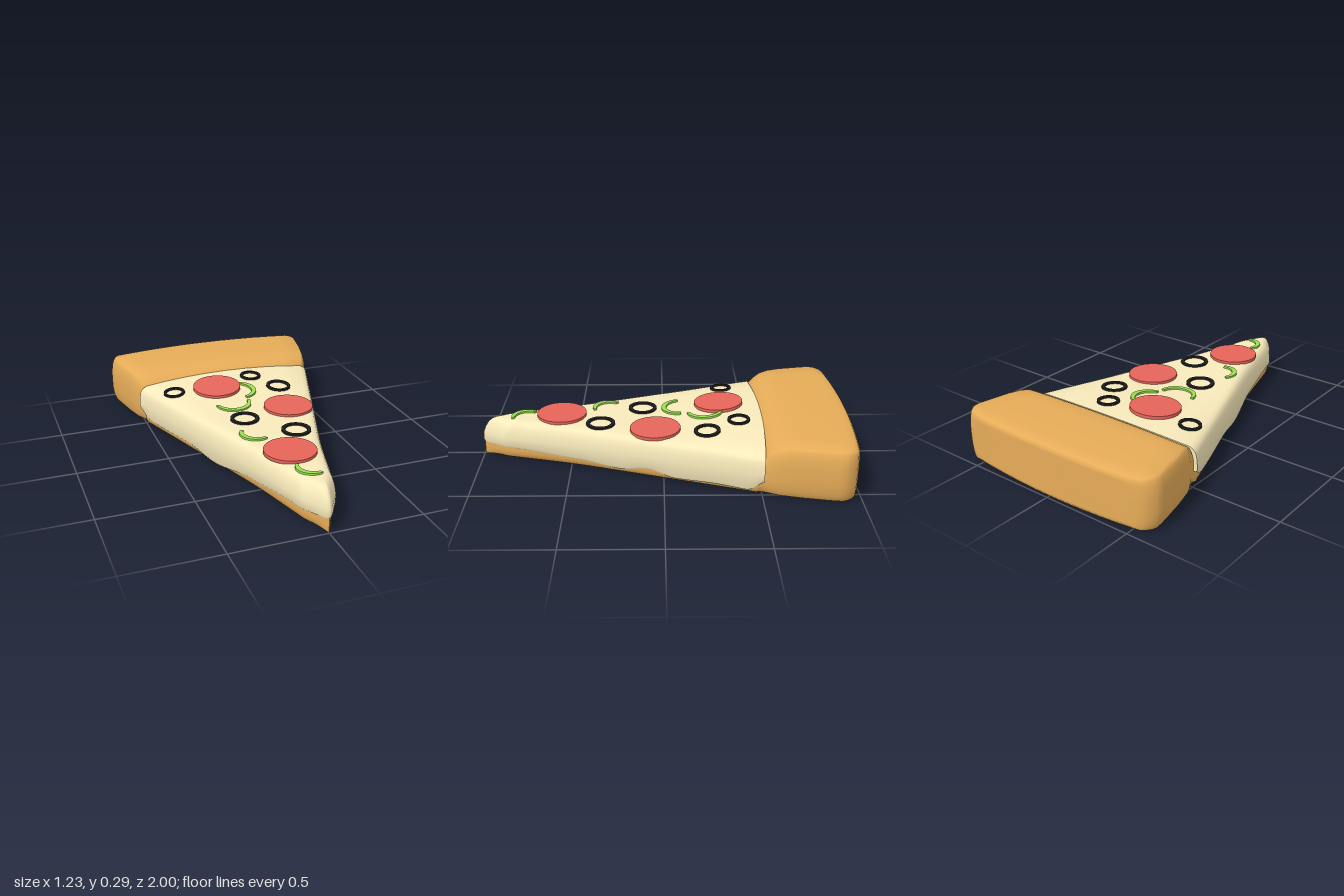
import * as THREE from 'three';
import { toCreasedNormals } from 'three/addons/utils/BufferGeometryUtils.js';

const mat = (color) => new THREE.MeshStandardMaterial({ color, side: THREE.DoubleSide });
const smooth = THREE.MathUtils.smoothstep;
const BACK = -0.505;

// Half width of the slice at depth z, with a full, rounded tip
const halfWidth = (z) => (0.36 - 0.341 * z + 0.03 * smooth(z, 0.4, 1))
  * Math.sqrt(Math.min(1, Math.max(0, 1 - z) / 0.13));

// Height of the cheese surface: level near the tip, crowned near the crust
const cheeseTop = (x, z) => {
  const w = 0.38 - 0.341 * z;
  return 0.222 + 0.03 * (1 - smooth(z, -0.5, 0.1)) * Math.max(0, 1 - (x / w) ** 2);
};

// Joins rows of points (running left to right over the top, tip to back)
function loft(rows, crease) {
  const n = rows[0].length, index = [];
  for (let i = 0; i < rows.length - 1; i++) {
    for (let j = 0; j < n - 1; j++) {
      const a = i * n + j, c = a + n;
      index.push(a, a + 1, c, a + 1, c + 1, c);
    }
  }
  const g = new THREE.BufferGeometry();
  g.setAttribute('position', new THREE.Float32BufferAttribute(rows.flat(2), 3));
  g.setIndex(index);
  return toCreasedNormals(g, crease);
}

// Eased interpolation through [position, value] pairs
function ease(points, t) {
  for (let i = 1; i < points.length; i++) {
    const [a, va] = points[i - 1], [b, vb] = points[i];
    if (t <= b) return va + (vb - va) * smooth(t, a, b);
  }
  return points[points.length - 1][1];
}

// Dough: rounded cross-sections from the tip to the raised crust
function doughGeometry() {
  const stations = [];
  for (let i = 0; i <= 36; i++) {
    const z = 0.995 - 1.465 * (i / 36) ** 1.8;
    const w = halfWidth(z + 0.005);
    stations.push([z, w - Math.min(0.01, w * 0.2), 0.01, 0.12]);
  }
  stations.push(
    [-0.49, 0.505, 0.01, 0.18], [-0.51, 0.513, 0.01, 0.212], [-0.53, 0.522, 0.01, 0.235],
    [-0.555, 0.535, 0.01, 0.253], [-0.585, 0.55, 0.01, 0.269], [-0.63, 0.562, 0.01, 0.28],
    [-0.7, 0.58, 0.01, 0.284], [-0.8, 0.6, 0.01, 0.284], [-0.87, 0.612, 0.01, 0.284],
    [-0.92, 0.614, 0.01, 0.283], [-0.95, 0.607, 0.01, 0.282], [-0.975, 0.59, 0.012, 0.279],
    [-0.99, 0.572, 0.016, 0.273], [-1, 0.54, 0.03, 0.258]);

  const section = ([z, w, y0, y1], f = 1) => {
    const rx = Math.min(0.03, w * 0.5), ry = (y1 - y0) * 0.42, half = [];
    const crown = (x) => 0.01 * (1 - (x / Math.max(w, 0.001)) ** 2);
    for (let k = 0; k < 5; k++) half.push([(w - rx) * k / 5, y0]);
    for (let k = 0; k <= 6; k++) {
      const a = k * Math.PI / 12;
      half.push([w - rx + rx * Math.sin(a), y0 + ry * (1 - Math.cos(a))]);
    }
    const upper = half.map(([x, y]) => [x, y0 + y1 - y + crown(x)]);
    const right = [...half.map(([x, y]) => [x, y - crown(x)]), ...upper.reverse()];
    const ring = [...right.map(([x, y]) => [-x, y]), ...right.slice().reverse()];
    const mid = (y0 + y1) / 2;
    return ring.map(([x, y]) => [x * f, mid + (y - mid) * f,
      z + 0.035 * (x * f / 0.6) ** 2 * (1 - smooth(z, -0.96, -0.84))]);
  };
  const rows = stations.map((s) => section(s));
  const last = stations[stations.length - 1];
  for (const f of [0.9, 0.7, 0.45, 0.2, 0]) rows.push(section(last, f));
  return loft(rows, 0.75);
}

// Cheese: blanket over the dough with a wavy, dripping lower edge
function cheeseGeometry() {
  const drips = {
    '-1': [[0, 0.075], [0.1, 0.075], [0.2, 0.055], [0.3, 0.022], [0.38, 0.05], [0.46, 0.046], [0.505, 0.05], [0.535, 0.1]],
    '1': [[0, 0.075], [0.1, 0.073], [0.2, 0.055], [0.28, 0.036], [0.33, 0.06], [0.38, 0.03], [0.45, 0.036], [0.505, 0.03], [0.535, 0.09]],
  };
  // [inset from side, setback at tip, height]; null heights follow the drip edge
  const rings = [[0.03, 0.03, null, 0], [0.007, 0.006, null, 0], [0, 0, null, 0.012], [0, 0.002, 0.13],
    [0.002, 0.016, 0.165], [0.007, 0.034, 0.192], [0.014, 0.052, 0.209], [0.025, 0.072, 0.218], [0.042, 0.1, 'top']];
  const rows = [];
  for (let i = 0; i <= 90; i++) {
    const s = (i / 90) ** 1.7, w = halfWidth(1 - (1 - BACK) * s);
    const point = (side, x, setback, h, lift) => {
      let z = THREE.MathUtils.lerp(1 - setback, BACK, s);
      const y = h === null ? ease(drips[side], w) + lift : h === 'top' ? cheeseTop(x, z) : h;
      z -= 0.03 * s ** 10 * (1 - (x / 0.54) ** 2);
      return [side * x, y, z];
    };
    const half = (side) => {
      const pts = rings.map(([inset, back, h, lift]) => point(side, w - Math.min(inset, w * inset * 9), back, h, lift));
      const edge = Math.abs(pts[pts.length - 1][0]);
      for (const f of [0.75, 0.5, 0.25]) pts.push(point(side, edge * f, 0.1, 'top'));
      return pts;
    };
    rows.push([...half(-1), point(1, 0, 0.1, 'top'), ...half(1).reverse()]);
  }
  rows.push(rows[0].map(() => [0, 0.15, -0.55])); // back closure
  return loft(rows, 0.8);
}

// Flat topping cut from a shape, extruded upwards
function flat(shape) {
  const g = new THREE.ExtrudeGeometry(shape, { depth: 0.013, bevelEnabled: false, curveSegments: 32 });
  return toCreasedNormals(g.rotateX(-Math.PI / 2), 0.6);
}

function oliveGeometry(r) {
  const shape = new THREE.Shape().absarc(0, 0, r, 0, Math.PI * 2);
  shape.holes.push(new THREE.Path().absarc(0, 0, r * 0.75, 0, Math.PI * 2, true));
  return flat(shape);
}

// Arc slice with slightly tapered ends; degrees, anticlockwise from above
function pepperGeometry(r, from, to) {
  const outer = [], inner = [], n = 20;
  for (let i = 0; i <= n; i++) {
    const a = THREE.MathUtils.degToRad(from + (to - from) * i / n);
    const width = 0.017 + 0.01 * Math.sin(Math.PI * i / n);
    outer.push(new THREE.Vector2(r * Math.cos(a), r * Math.sin(a)));
    inner.unshift(new THREE.Vector2((r - width) * Math.cos(a), (r - width) * Math.sin(a)));
  }
  return flat(new THREE.Shape([...outer, ...inner]));
}

export function createModel() {
  const model = new THREE.Group();
  const add = (name, geometry, material) => {
    const mesh = new THREE.Mesh(geometry, material);
    mesh.name = name;
    model.add(mesh);
    return mesh;
  };

  // Rests a topping on the cheese, tilted to its slope
  const place = (name, geometry, material, x, z) => {
    const mesh = add(name, geometry, material), d = 0.03;
    const normal = new THREE.Vector3(
      cheeseTop(x - d, z) - cheeseTop(x + d, z), 2 * d,
      cheeseTop(x, z - d) - cheeseTop(x, z + d)).normalize();
    mesh.quaternion.setFromUnitVectors(new THREE.Vector3(0, 1, 0), normal);
    mesh.position.set(x, cheeseTop(x, z) - 0.003, z);
  };

  add('crust', doughGeometry(), mat(0xe6ac58));
  add('cheese', cheeseGeometry(), mat(0xf8eabb));

  const red = mat(0xe6655a), black = mat(0x1e1e1e), green = mat(0x9be052);
  for (const [x, z] of [[-0.12, -0.31], [0.18, 0.045], [-0.02, 0.56]]) {
    const disc = new THREE.CylinderGeometry(0.135, 0.135, 0.018, 48).translate(0, 0.009, 0);
    place('pepperoni', disc, red, x, z);
  }
  for (const [x, z, r] of [[-0.365, -0.34, 0.06], [0.12, -0.405, 0.06], [0.23, -0.23, 0.07],
    [-0.1, 0.115, 0.078], [0.105, 0.34, 0.078]]) {
    place('oliveRing', oliveGeometry(r), black, x, z);
  }
  for (const [x, z, r, from, to] of [[-0.095, -0.09, 0.1, 185, 365], [-0.015, -0.23, 0.1, -80, 75],
    [-0.11, 0.31, 0.085, 140, 295], [0.01, 0.755, 0.08, 140, 290]]) {
    place('pepperSlice', pepperGeometry(r, from, to), green, x, z);
  }
  return model;
}
